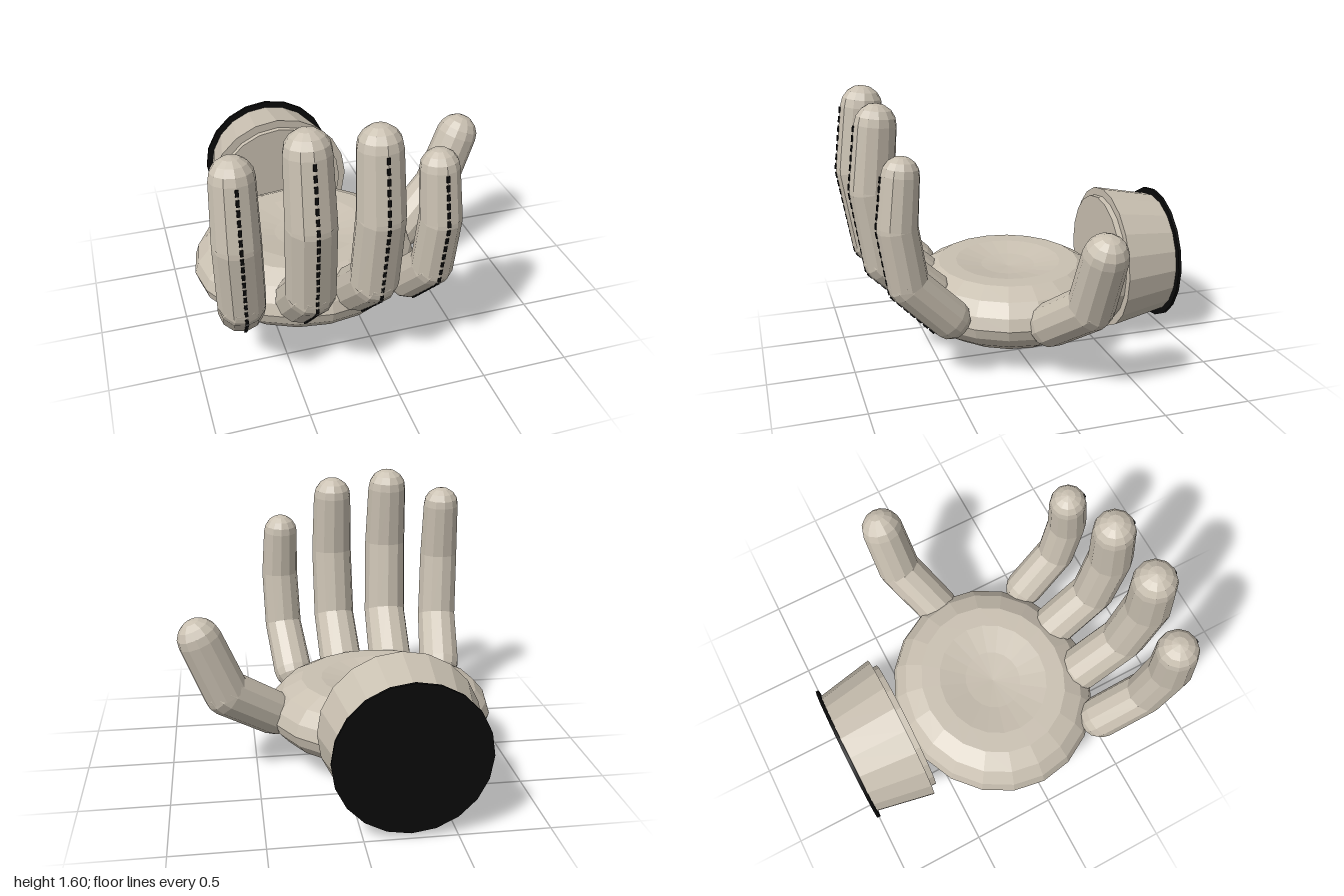
import * as THREE from 'three';

const skin = new THREE.MeshStandardMaterial({ color: 0xc9c0b1, flatShading: true });
skin.name = 'warm stone';
const black = new THREE.MeshStandardMaterial({ color: 0x0a0a0a });
black.name = 'black';

const V = (x, y, z) => new THREE.Vector3(x, y, z);
const UP = V(0, 1, 0);

function add(parent, name, geometry, material) {
  const mesh = new THREE.Mesh(geometry, material);
  mesh.name = name;
  parent.add(mesh);
  return mesh;
}

// Tapered cylinder between two points
function limb(parent, name, a, b, ra, rb) {
  const dir = b.clone().sub(a);
  const mesh = add(parent, name, new THREE.CylinderGeometry(rb, ra, dir.length(), 12, 1, true), skin);
  mesh.position.copy(a).add(b).multiplyScalar(0.5);
  mesh.quaternion.setFromUnitVectors(UP, dir.normalize());
}

// Chain of limbs with rounded joints
function digit(parent, name, joints, radii) {
  const group = new THREE.Group();
  group.name = name;
  parent.add(group);
  const last = joints.length - 1;
  joints.forEach((p, i) => {
    const ball = add(group, i === last ? 'fingertip' : 'knuckle', new THREE.SphereGeometry(radii[i], 12, 8), skin);
    ball.position.copy(p);
    const toward = i === 0 ? joints[1].clone().sub(p) : p.clone().sub(joints[i - 1]);
    ball.quaternion.setFromUnitVectors(UP, toward.normalize());
    if (i < last) limb(group, 'phalanx', p, joints[i + 1], radii[i], radii[i + 1]);
  });
  return group;
}

// Dashed seam running along the outside of a finger
function stitches(group, joints, radii) {
  const side = V(1, 0, 0);
  const normals = joints.slice(1).map((p, i) => side.clone().cross(p.clone().sub(joints[i])).normalize());
  const line = joints.map((p, i) => {
    const n = normals[Math.max(i - 1, 0)].clone().add(normals[Math.min(i, normals.length - 1)]).normalize();
    return p.clone().addScaledVector(n, radii[i] + 0.002);
  });
  for (let i = 0; i < line.length - 1; i++) {
    const dir = line[i + 1].clone().sub(line[i]);
    const count = Math.round(dir.length() / 0.054);
    const yAxis = dir.clone().normalize();
    const zAxis = side.clone().cross(yAxis).normalize();
    const basis = new THREE.Matrix4().makeBasis(yAxis.clone().cross(zAxis), yAxis, zAxis);
    for (let k = 0; k < count; k++) {
      const dash = add(group, 'stitch', new THREE.BoxGeometry(0.017, 0.034, 0.009), black);
      dash.position.copy(line[i]).addScaledVector(dir, (k + 0.5) / count);
      dash.quaternion.setFromRotationMatrix(basis);
    }
  }
}

export function createModel() {
  const model = new THREE.Group();
  model.name = 'openHand';

  // Palm: rounded dish with a shallow hollow on top
  const profile = [
    [0, 0.03], [0.17, 0.037], [0.34, 0.068], [0.48, 0.115], [0.59, 0.18], [0.65, 0.245],
    [0.668, 0.305], [0.645, 0.375], [0.58, 0.45], [0.47, 0.505], [0.35, 0.505], [0.18, 0.475], [0, 0.46],
  ].map(([r, y]) => new THREE.Vector2(r, y));
  const palm = add(model, 'palm', new THREE.LatheGeometry(profile, 20), skin);
  palm.scale.z = 0.915;
  palm.position.set(-0.25, 0, -0.01);

  // Cuff: inner lip, flared sleeve and dark end cap
  const disc = (name, rFront, rBack, zFront, zBack, material) => {
    const mesh = add(model, name, new THREE.CylinderGeometry(rFront, rBack, zFront - zBack, 20), material);
    mesh.rotation.x = Math.PI / 2;
    mesh.position.set(-0.25, 0.45, (zFront + zBack) / 2);
  };
  disc('cuffLip', 0.4, 0.4, -0.605, -0.66, skin);
  disc('cuffSleeve', 0.45, 0.382, -0.64, -0.985, skin);
  disc('cuffEnd', 0.42, 0.42, -0.982, -1, black);

  // Four curled fingers
  const fingers = [
    ['littleFinger', 0.125, [V(-0.74, 0.375, 0.48), V(-0.775, 0.62, 0.735), V(-0.79, 1.03, 0.8), V(-0.785, 1.37, 0.765)]],
    ['ringFinger', 0.134, [V(-0.418, 0.4, 0.52), V(-0.425, 0.65, 0.785), V(-0.433, 1.11, 0.858), V(-0.433, 1.48, 0.82)]],
    ['middleFinger', 0.13, [V(-0.09, 0.4, 0.52), V(-0.078, 0.64, 0.775), V(-0.07, 1.075, 0.837), V(-0.07, 1.44, 0.8)]],
    ['indexFinger', 0.115, [V(0.23, 0.37, 0.48), V(0.27, 0.615, 0.715), V(0.283, 0.95, 0.765), V(0.275, 1.233, 0.735)]],
  ];
  for (const [name, r, joints] of fingers) {
    const radii = [r * 1.04, r * 1.01, r * 0.99, r * 0.91];
    stitches(digit(model, name, joints, radii), joints, radii);
  }

  // Thumb
  digit(model, 'thumb', [V(0.39, 0.325, -0.07), V(0.665, 0.525, -0.195), V(0.8, 0.86, -0.215)], [0.13, 0.132, 0.125]);

  return model;
}
